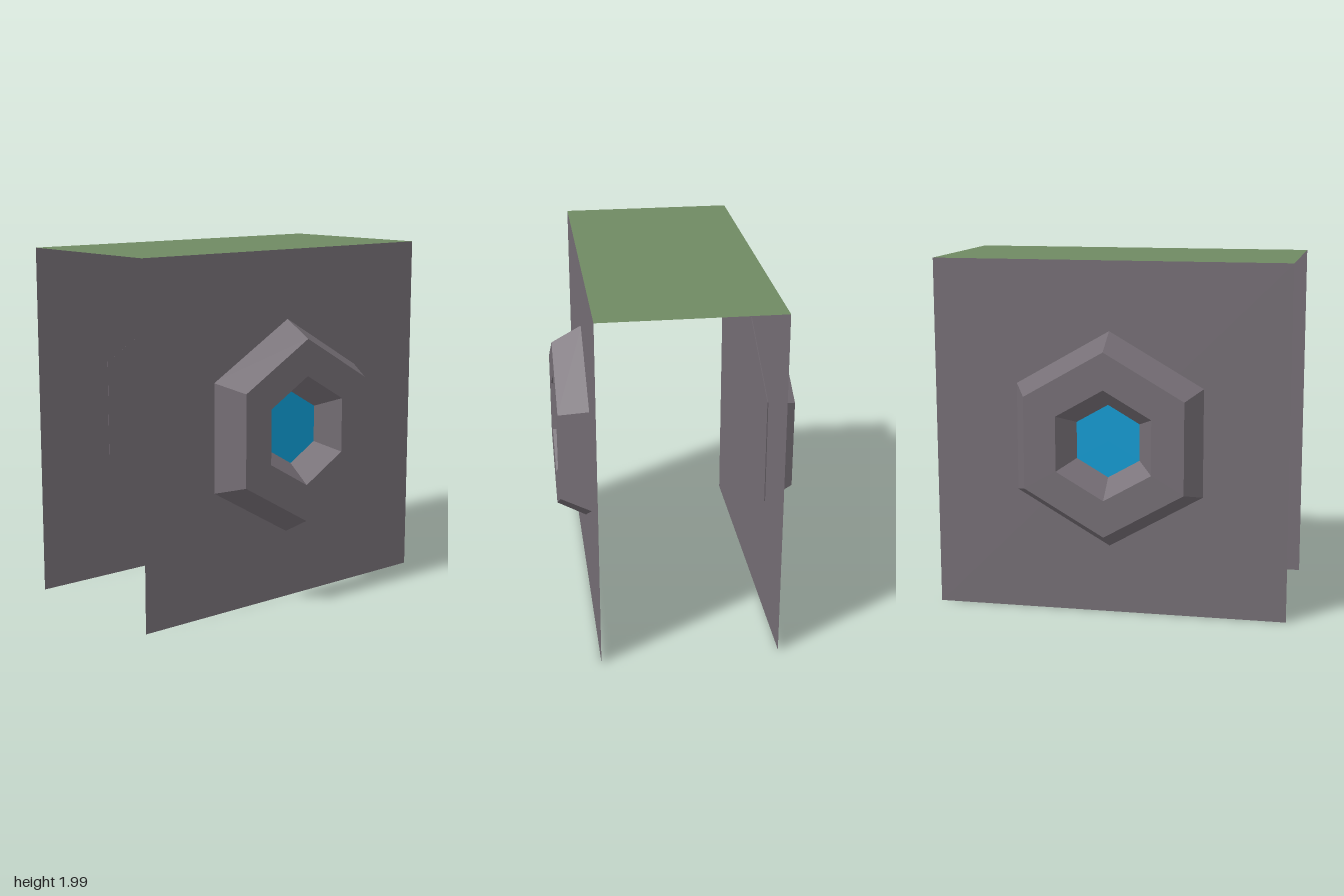
import * as THREE from 'three';

export function createModel() {
  const model = new THREE.Group();
  model.name = 'archBlock';

  const panelGrey = new THREE.MeshStandardMaterial({ color: 0x756e75, side: THREE.DoubleSide, flatShading: true });
  panelGrey.name = 'panelGrey';
  const roofGreen = new THREE.MeshStandardMaterial({ color: 0x6f8962, side: THREE.DoubleSide, flatShading: true });
  roofGreen.name = 'roofGreen';
  const lensBlue = new THREE.MeshStandardMaterial({ color: 0x0f9bd2, side: THREE.DoubleSide, flatShading: true });
  lensBlue.name = 'lensBlue';

  const add = (parent, name, geometry, material) => {
    const mesh = new THREE.Mesh(geometry, material);
    mesh.name = name;
    parent.add(mesh);
    return mesh;
  };

  const height = 1.99, wallX = 0.494, baseX = 0.488, centreY = 0.996;

  // Roof sheet
  add(model, 'roof', new THREE.PlaneGeometry(wallX * 2, 2).rotateX(-Math.PI / 2), roofGreen)
    .position.y = height;

  // Bevelled hexagonal boss: closed back, outer slope, rim, sloped recess
  const profile = [[0, 0], [0.612, 0], [0.515, 0.175], [0.308, 0.175], [0.205, 0.04]]
    .map(([r, h]) => new THREE.Vector2(r, h));

  for (const [label, side] of [['left', 1], ['right', -1]]) {
    const group = new THREE.Group();
    group.name = `${label}Side`;
    model.add(group);

    // Wall sheet
    add(group, `${label}Wall`, new THREE.PlaneGeometry(2, height).rotateY(side * Math.PI / 2), panelGrey)
      .position.set(side * wallX, height / 2, 0);

    // Hexagonal boss
    const boss = new THREE.LatheGeometry(profile, 6, Math.PI / 2).rotateZ(-side * Math.PI / 2);
    add(group, `${label}HexBoss`, boss, panelGrey).position.set(side * baseX, centreY, 0);

    // Blue recess floor
    const lens = new THREE.CircleGeometry(0.205, 6, Math.PI / 2).rotateY(side * Math.PI / 2);
    add(group, `${label}Lens`, lens, lensBlue).position.set(side * (baseX + 0.04), centreY, 0);
  }

  return model;
}
